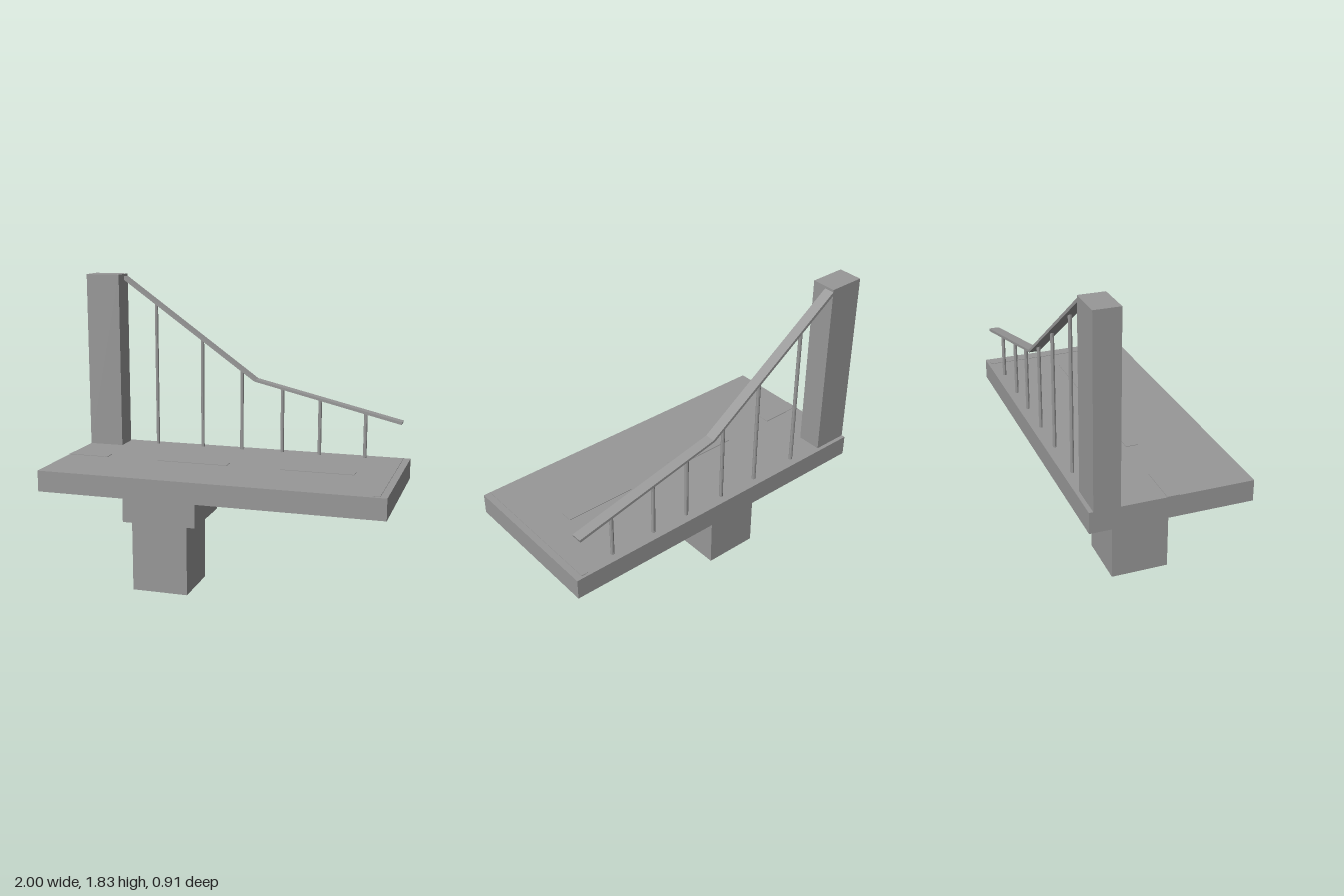
import * as THREE from 'three';

export function createModel() {
  const group = new THREE.Group();
  const concrete = new THREE.MeshStandardMaterial({ color: 0x989898 });
  concrete.name = 'concrete grey';

  const add = (name, geometry) => {
    const mesh = new THREE.Mesh(geometry, concrete);
    mesh.name = name;
    group.add(mesh);
    return mesh;
  };

  // Box given by its extents on each axis
  const block = (name, [x0, x1], [y0, y1], [z0, z1]) =>
    add(name, new THREE.BoxGeometry(x1 - x0, y1 - y0, z1 - z0))
      .position.set((x0 + x1) / 2, (y0 + y1) / 2, (z0 + z1) / 2);

  // Supporting pier, its cap, the road deck and the tower
  const deckTop = 0.765;
  block('pier', [-0.537, -0.198], [0, 0.428], [-0.157, 0.185]);
  block('pierCap', [-0.58, -0.135], [0.428, 0.642], [-0.2, 0.223]);
  block('deck', [-1, 1], [0.642, deckTop], [-0.457, 0.457]);
  block('tower', [-1, -0.788], [deckTop, 1.83], [-0.434, -0.288]);

  // Road markings: centre dashes and an end line
  const paintTop = deckTop + 0.003;
  for (const [x0, x1] of [[-1, -0.75], [-0.43, 0], [0.32, 0.75]]) {
    block('centreDash', [x0, x1], [deckTop, paintTop], [-0.035, 0.035]);
  }
  block('endLine', [0.92, 0.96], [deckTop, paintTop], [-0.44, 0.44]);

  // Bent flat cable: side profile extruded across its width
  const underside = [[-0.79, 1.795], [0.05, 1.199], [0.95, 0.984]];
  const topside = [[0.955, 1.0], [0.06, 1.211], [-0.79, 1.817]];
  const profile = new THREE.Shape([...underside, ...topside].map(([x, y]) => new THREE.Vector2(x, y)));
  add('cable', new THREE.ExtrudeGeometry(profile, { depth: 0.062, bevelEnabled: false }))
    .position.z = -0.434;

  // Hangers reaching from the deck to the underside of the cable
  const cableHeight = (x) => {
    const i = x < underside[1][0] ? 0 : 1;
    const [ax, ay] = underside[i], [bx, by] = underside[i + 1];
    return ay + (by - ay) * (x - ax) / (bx - ax);
  };
  for (const x of [-0.588, -0.289, -0.035, 0.222, 0.455, 0.733]) {
    const height = cableHeight(x) + 0.008 - deckTop;
    const geometry = new THREE.CylinderGeometry(0.011, 0.011, height, 8).toNonIndexed();
    geometry.computeVertexNormals();
    add('hanger', geometry).position.set(x, deckTop + height / 2, -0.403);
  }

  return group;
}
